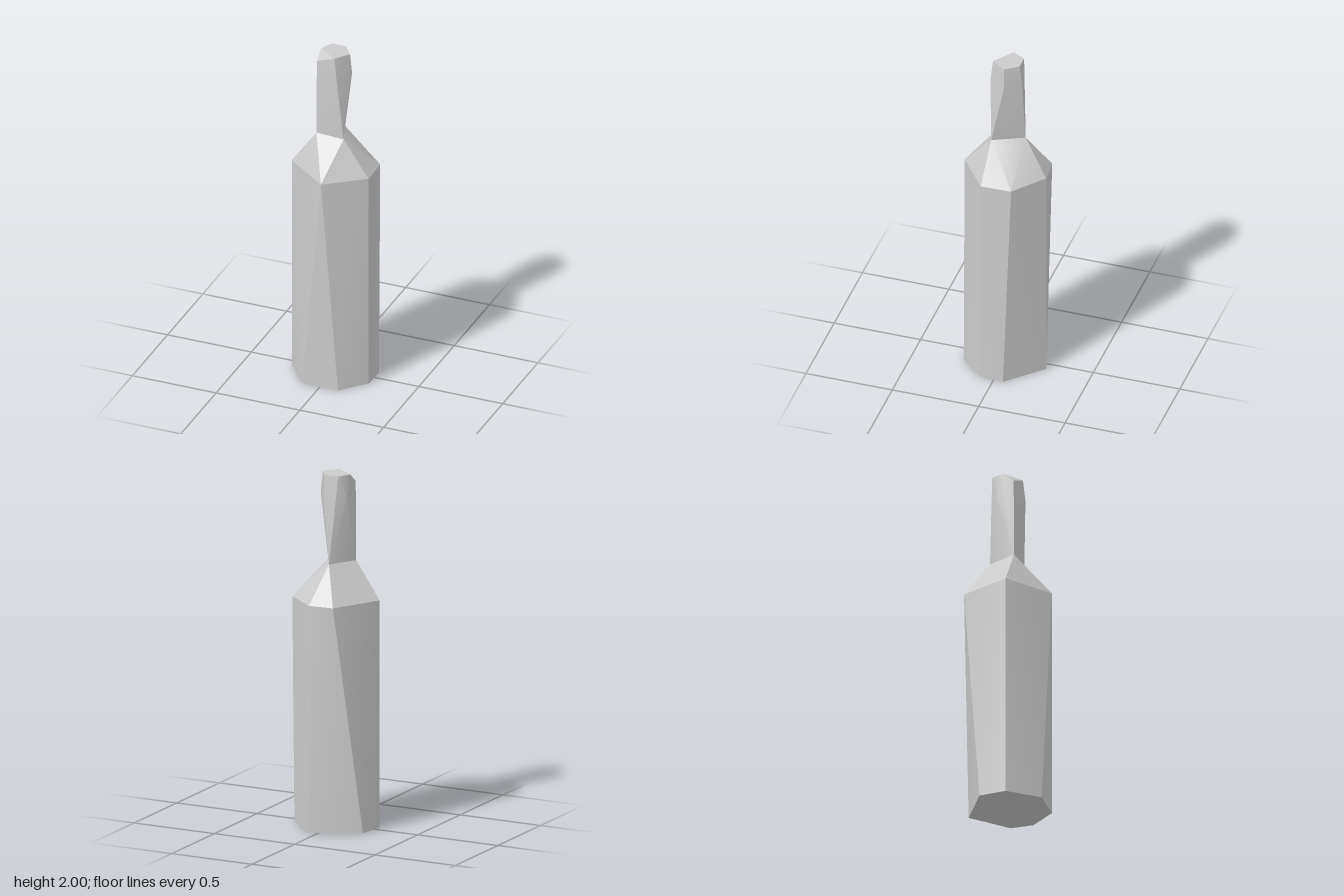
import * as THREE from 'three';
import { ConvexGeometry } from 'three/addons/geometries/ConvexGeometry.js';
import { toCreasedNormals } from 'three/addons/utils/BufferGeometryUtils.js';

const SHOULDER_Y = 1.29, NECK_Y = 1.5, LIP_Y = 1.88, TOP_Y = 2;

// Irregular cross-sections as [x, z]
const baseRing = [[-0.24, 0.045], [-0.107, 0.215], [0.107, 0.215], [0.232, 0.076],
  [0.238, -0.055], [0.047, -0.243], [-0.218, -0.11]];
const shoulderRing = [[-0.24, 0.045], [0.016, 0.24], [0.232, 0.076],
  [0.228, -0.098], [0.047, -0.243], [-0.095, -0.231]];
const neckRing = [[-0.09, 0.052], [0.078, 0.066], [-0.005, -0.107]];
const lipRing = [[-0.088, -0.05], [0.033, -0.098], [0.095, -0.015], [0.042, 0.082]];
const topRing = [[-0.088, -0.01], [-0.05, -0.083], [0.031, -0.083], [0.085, -0.01], [0.027, 0.072]];

const at = (ring, y) => ring.map(([x, z]) => new THREE.Vector3(x, y, z));

// Faceted skin around the points, left open at the joints with other sections
function skin(name, points, joints, material) {
  const pos = new ConvexGeometry(points).getAttribute('position');
  const kept = [];
  for (let i = 0; i < pos.count; i += 3) {
    const isJoint = joints.some((y) => [0, 1, 2].every((k) => Math.abs(pos.getY(i + k) - y) < 1e-4));
    if (isJoint) continue;
    for (let k = 0; k < 3; k++) kept.push(pos.getX(i + k), pos.getY(i + k), pos.getZ(i + k));
  }
  const open = new THREE.BufferGeometry();
  open.setAttribute('position', new THREE.Float32BufferAttribute(kept, 3));
  const mesh = new THREE.Mesh(toCreasedNormals(open, Math.PI / 6), material);
  mesh.name = name;
  return mesh;
}

export function createModel() {
  const group = new THREE.Group();
  group.name = 'bottle';
  const material = new THREE.MeshStandardMaterial({ color: 0xcccccc });

  // Body with its closed base
  group.add(skin('body', [...at(baseRing, 0), ...at(shoulderRing, SHOULDER_Y)], [SHOULDER_Y], material));

  // Shoulder narrowing to the neck
  group.add(skin('shoulder', [...at(shoulderRing, SHOULDER_Y), ...at(neckRing, NECK_Y)],
    [SHOULDER_Y, NECK_Y], material));

  // Neck and capped mouth, with one chipped corner below the top
  group.add(skin('neck', [...at(neckRing, NECK_Y), ...at(lipRing, LIP_Y),
    ...at([[-0.088, 0.05]], 1.95), ...at(topRing, TOP_Y)], [NECK_Y], material));

  return group;
}
